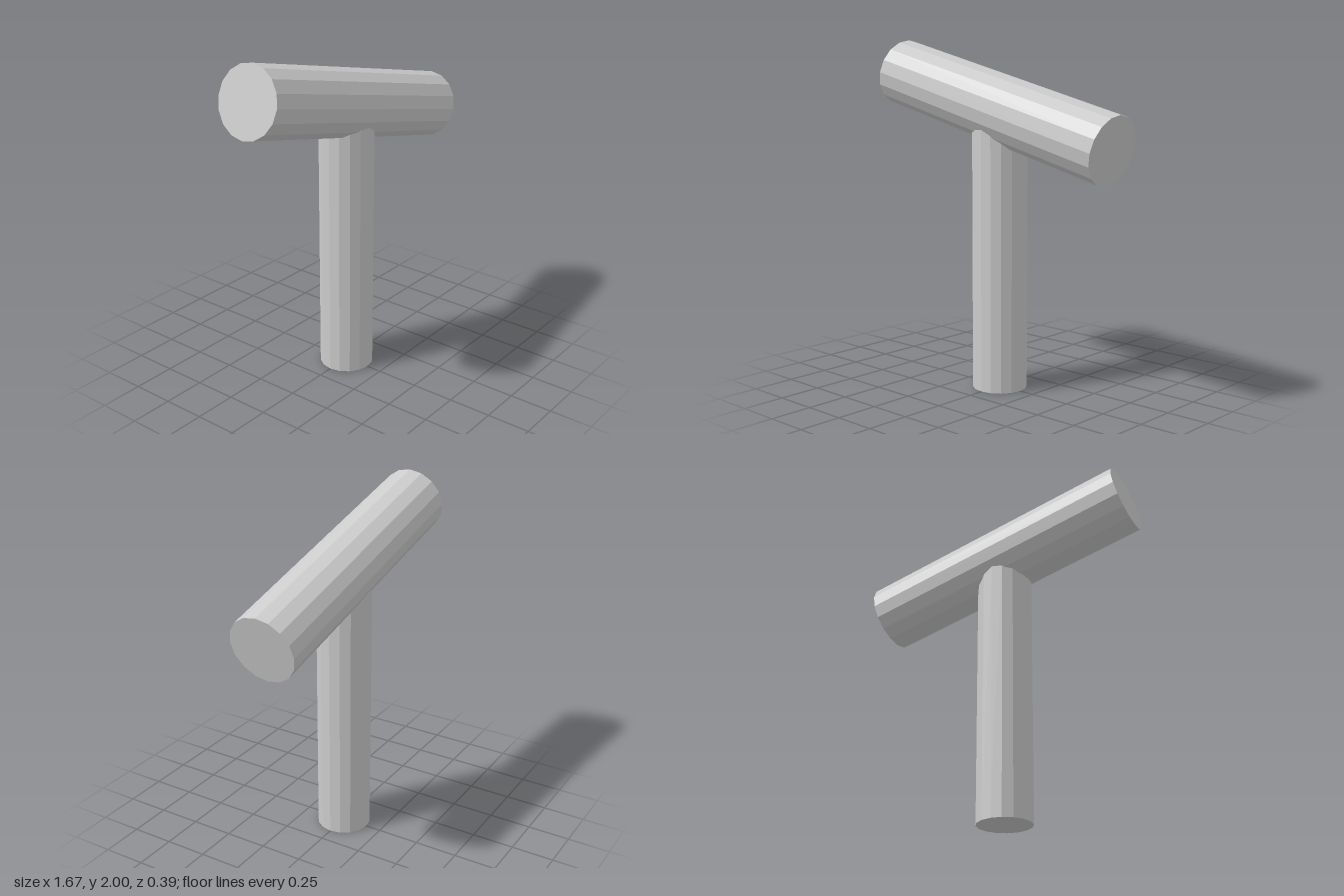
import * as THREE from 'three';

export function createModel() {
  const group = new THREE.Group();
  const material = new THREE.MeshStandardMaterial({ color: 0xcccccc, flatShading: true });

  // A 16-sided closed rod, centred at height y
  function rod(name, radius, length, y) {
    const mesh = new THREE.Mesh(new THREE.CylinderGeometry(radius, radius, length, 16), material);
    mesh.name = name;
    mesh.position.y = y;
    group.add(mesh);
    return mesh;
  }

  // Upright post, its top buried inside the crossbar
  const postHeight = 1.58;
  rod('post', 0.157, postHeight, postHeight / 2);

  // Thicker crossbar, tilted down towards +x
  const crossbar = rod('crossbar', 0.195, 1.625, 1.615);
  crossbar.rotation.z = Math.PI / 2 - THREE.MathUtils.degToRad(13.9);

  return group;
}
